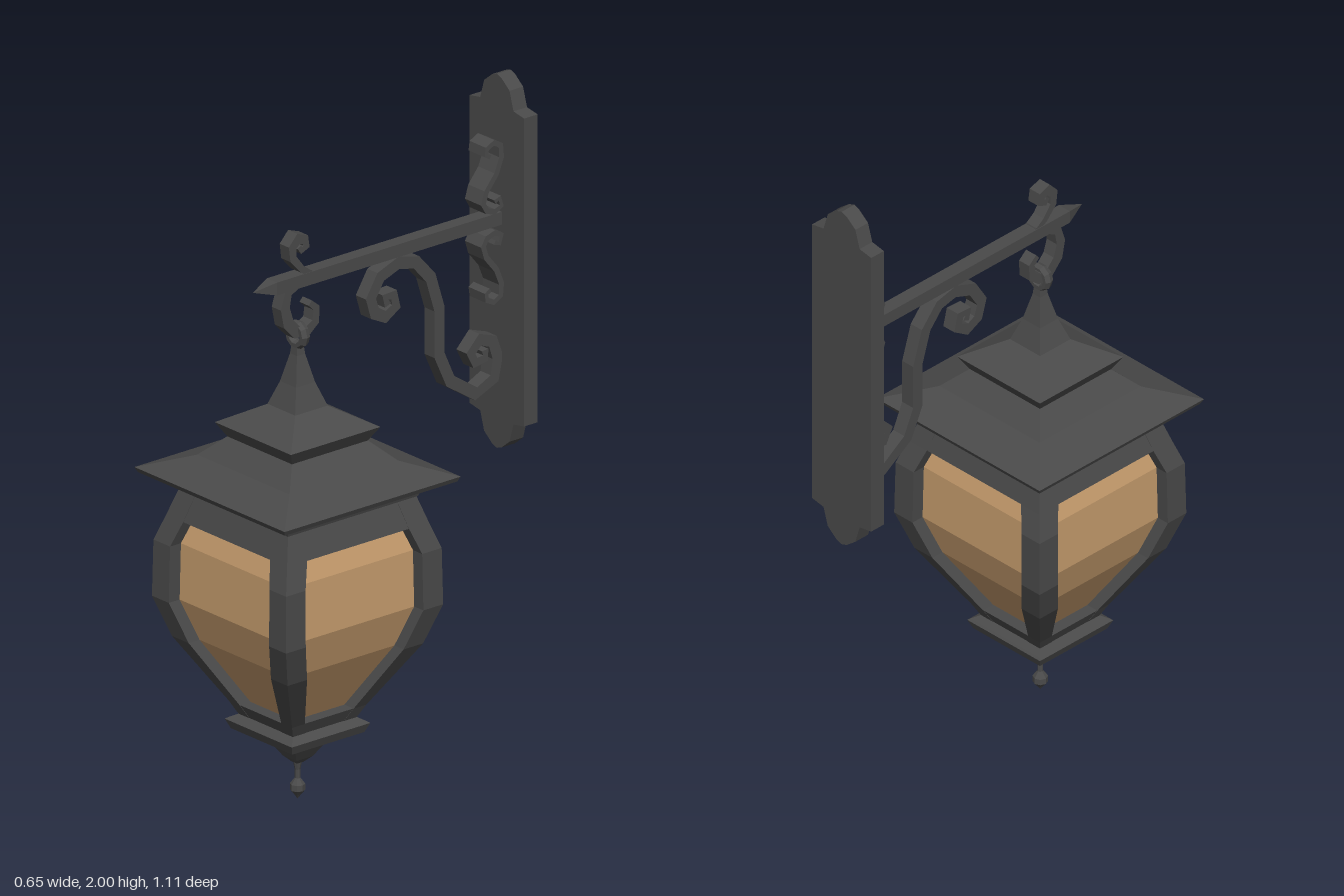
import * as THREE from 'three';

const iron = new THREE.MeshStandardMaterial({ color: 0x4a4a4a, flatShading: true });
const amber = new THREE.MeshStandardMaterial({ color: 0xc69c6d, flatShading: true });
const LANTERN_Z = 0.23;

function add(parent, name, geometry, material = iron) {
  const mesh = new THREE.Mesh(geometry, material);
  mesh.name = name;
  parent.add(mesh);
  return mesh;
}

// Square solid from [halfWidth, y] pairs listed bottom to top
function squareLathe(profile) {
  const pts = profile.map(([w, y]) => new THREE.Vector2(w * Math.SQRT2, y));
  return new THREE.LatheGeometry(pts, 4, Math.PI / 4);
}

// Flat iron strip following a [z, y] path, tapered toward both ends
function ribbon(path, thick, endThick, width) {
  const left = [], right = [], n = path.length;
  path.forEach(([z, y], i) => {
    const a = path[Math.max(i - 1, 0)], b = path[Math.min(i + 1, n - 1)];
    const dir = new THREE.Vector2(b[0] - a[0], b[1] - a[1]).normalize();
    const t = Math.min(1, Math.min(i, n - 1 - i) / 4);
    const h = (endThick + (thick - endThick) * t) / 2;
    left.push(new THREE.Vector2(z - dir.y * h, y + dir.x * h));
    right.unshift(new THREE.Vector2(z + dir.y * h, y - dir.x * h));
  });
  const geo = new THREE.ExtrudeGeometry(new THREE.Shape([...left, ...right]), { depth: width, bevelEnabled: false });
  return geo.translate(0, 0, -width / 2).rotateY(-Math.PI / 2);
}

// L-section corner post; each level is [y, outer half width, opening half width]
function cornerPost(levels, depth) {
  const pos = [], index = [];
  levels.forEach(([y, w, o], k) => {
    const i = w - depth;
    const ring = [[w, w], [w, o], [i, o], [i, i], [o, i], [o, w]];
    ring.forEach(([x, z], j) => {
      pos.push(x, y, z);
      if (k === levels.length - 1) return;
      const a = k * 6 + j, b = k * 6 + (j + 1) % 6;
      index.push(a, b, a + 6, b, b + 6, a + 6);
    });
  });
  const geo = new THREE.BufferGeometry();
  geo.setAttribute('position', new THREE.Float32BufferAttribute(pos, 3));
  geo.setIndex(index);
  geo.computeVertexNormals();
  return geo;
}

function createLantern() {
  const lantern = new THREE.Group();
  lantern.name = 'lantern';
  lantern.position.z = LANTERN_Z;

  // Two-tier roof drawn up into a spire
  add(lantern, 'roof', squareLathe([
    [0, 0.925], [0.24, 0.925], [0.245, 0.942], [0.318, 0.972], [0.325, 0.987],
    [0.2, 1.03], [0.14, 1.088], [0.165, 1.13], [0.06, 1.19],
    [0.035, 1.26], [0.015, 1.345], [0.012, 1.375], [0, 1.375]]));

  // Bulging frame and the panes set inside it
  const levels = [
    [0.25, 0.117, 0.07], [0.29, 0.137, 0.09], [0.48, 0.25, 0.178], [0.6, 0.29, 0.217],
    [0.77, 0.287, 0.215], [0.845, 0.262, 0.188], [0.93, 0.235, 0.165]];
  for (let k = 0; k < 4; k++) {
    add(lantern, 'cornerPost', cornerPost(levels, 0.045)).rotation.y = k * Math.PI / 2;
  }
  add(lantern, 'topRail', squareLathe([[0.21, 0.845], [0.261, 0.845], [0.234, 0.93]]));
  add(lantern, 'bottomRail', squareLathe([[0.116, 0.25], [0.136, 0.29], [0.085, 0.29]]));
  add(lantern, 'glass', squareLathe(levels.map(([y, w]) => [w - 0.04, y])), amber);

  // Base tray, drop and finial
  add(lantern, 'base', squareLathe([
    [0, 0.11], [0.012, 0.112], [0.03, 0.13], [0.06, 0.178], [0.085, 0.188], [0.133, 0.207],
    [0.145, 0.235], [0.138, 0.24], [0.117, 0.252], [0, 0.252]]));
  const finial = [[0, 0], [0.011, 0.015], [0.022, 0.028], [0.022, 0.046], [0.008, 0.064], [0.008, 0.09], [0.014, 0.118]];
  add(lantern, 'finial', new THREE.LatheGeometry(finial.map(p => new THREE.Vector2(...p)), 8));

  // Ring joining the spire to the hook
  add(lantern, 'hangingRing', new THREE.TorusGeometry(0.031, 0.012, 6, 10).scale(1, 1, 1.4)).position.y = 1.403;
  return lantern;
}

function createBracket() {
  const bracket = new THREE.Group();
  bracket.name = 'wallBracket';

  // Wall plate with stepped ends, symmetric in both directions
  const quarter = [[0.118, 0.465], [0.072, 0.473], [0.055, 0.53], [0.02, 0.558], [0, 0.565]];
  const top = [...quarter, ...quarter.slice(0, -1).reverse().map(([x, y]) => [-x, y])];
  const outline = [...top, ...top.map(([x, y]) => [-x, -y])].map(p => new THREE.Vector2(...p));
  add(bracket, 'wallPlate', new THREE.ExtrudeGeometry(new THREE.Shape(outline), { depth: 0.05, bevelEnabled: false }))
    .position.set(0, 1.435, -0.555);

  // Square arm with a pointed tip
  const arm = squareLathe([[0, -0.51], [0.022, -0.51], [0.022, 0.325], [0, 0.395]]);
  add(bracket, 'arm', arm.rotateX(Math.PI / 2).scale(1, 0.88, 1)).position.y = 1.57;

  // Large S-shaped support scroll under the arm
  add(bracket, 'supportScroll', ribbon([
    [-0.085, 1.415], [-0.075, 1.442], [-0.107, 1.442], [-0.116, 1.405], [-0.077, 1.382],
    [-0.037, 1.402], [-0.022, 1.45], [-0.058, 1.508], [-0.125, 1.533], [-0.19, 1.518],
    [-0.243, 1.458], [-0.275, 1.355], [-0.275, 1.215], [-0.315, 1.127], [-0.41, 1.064],
    [-0.478, 1.094], [-0.49, 1.155], [-0.472, 1.207], [-0.425, 1.224], [-0.391, 1.19],
    [-0.407, 1.158], [-0.445, 1.163], [-0.443, 1.188]], 0.038, 0.024, 0.044));

  // Pair of small scrolls on the plate, mirrored about the arm
  const small = [
    [-0.452, 1.772], [-0.437, 1.78], [-0.44, 1.8], [-0.465, 1.812], [-0.49, 1.798],
    [-0.493, 1.762], [-0.474, 1.715], [-0.437, 1.67], [-0.426, 1.635], [-0.44, 1.612],
    [-0.468, 1.603], [-0.494, 1.615], [-0.486, 1.64], [-0.468, 1.632]];
  for (const flip of [false, true]) {
    const path = small.map(([z, y]) => [z, flip ? 3.142 - y : y]);
    add(bracket, flip ? 'lowerPlateScroll' : 'upperPlateScroll', ribbon(path, 0.018, 0.013, 0.07));
  }

  // Hook below the arm and curl above it
  add(bracket, 'hook', ribbon([
    [0.19, 1.585], [0.245, 1.562], [0.28, 1.545], [0.292, 1.5], [0.28, 1.452], [0.25, 1.42],
    [0.21, 1.413], [0.18, 1.435], [0.177, 1.475], [0.2, 1.495]], 0.038, 0.018, 0.04));
  add(bracket, 'armCurl', ribbon([
    [0.185, 1.575], [0.23, 1.605], [0.262, 1.643], [0.265, 1.678], [0.243, 1.7],
    [0.219, 1.692], [0.214, 1.67], [0.232, 1.662], [0.24, 1.674]], 0.034, 0.016, 0.04));
  return bracket;
}

export function createModel() {
  const model = new THREE.Group();
  model.name = 'wallLantern';
  model.add(createLantern(), createBracket());
  return model;
}
